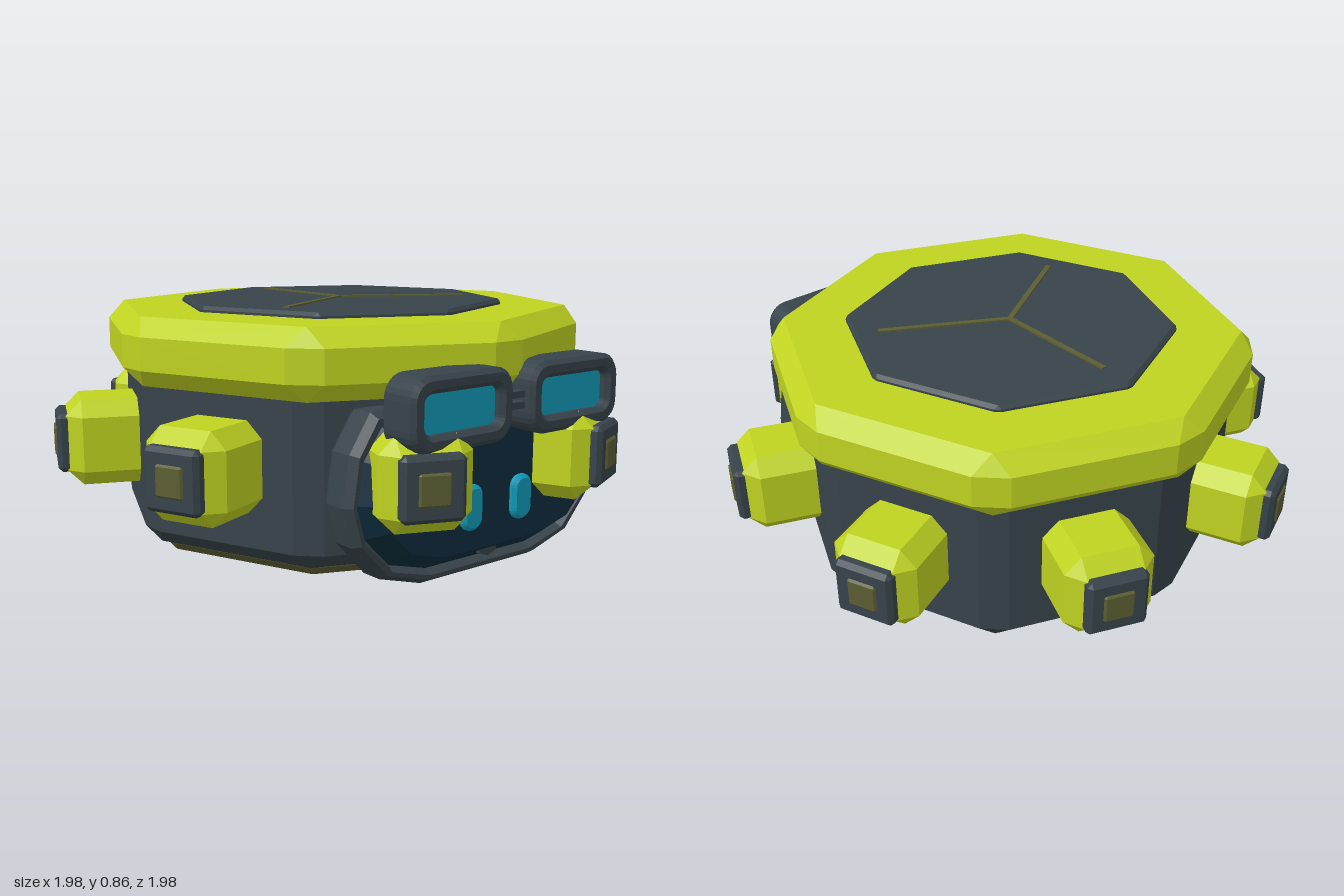
import * as THREE from 'three';
import { ConvexGeometry } from 'three/addons/geometries/ConvexGeometry.js';

const mat = (name, color) => {
  const m = new THREE.MeshStandardMaterial({ color, flatShading: true });
  m.name = name;
  return m;
};

// Box with chamfered edges
function chamferBox(w, h, d, c) {
  const pts = [];
  for (const x of [-w / 2, w / 2]) for (const y of [-h / 2, h / 2]) for (const z of [-d / 2, d / 2]) {
    const ix = x - Math.sign(x) * c, iy = y - Math.sign(y) * c, iz = z - Math.sign(z) * c;
    pts.push(new THREE.Vector3(x, iy, iz), new THREE.Vector3(ix, y, iz), new THREE.Vector3(ix, iy, z));
  }
  return new ConvexGeometry(pts);
}

// Octagonal prism with chamfered edges and corners; a = distance to the flats
function chamferOctagon(a, y0, y1, c) {
  const pts = [], cos = Math.cos(Math.PI / 8), tan = Math.tan(Math.PI / 8);
  const up = new THREE.Vector3(0, 1, 0);
  for (let k = 0; k < 8; k++) {
    const add = (x, y, z) => pts.push(new THREE.Vector3(x, y, z).applyAxisAngle(up, k * Math.PI / 4));
    for (const y of [y0, y1]) add(0, y, (a - c) / cos);
    for (const y of [y0 + c, y1 - c]) for (const s of [-1, 1]) add(s * c, y, a / cos - c * tan);
  }
  return new ConvexGeometry(pts);
}

// Extrusion from z0 to z1 with a one-step bevel kept inside the outline
function plate(shape, z0, z1, size, thick = size) {
  return new THREE.ExtrudeGeometry(shape, {
    depth: z1 - z0 - 2 * thick, bevelThickness: thick, bevelSize: size, bevelOffset: -size,
    bevelSegments: 1, curveSegments: 3,
  }).translate(0, 0, z0 + thick);
}

function roundRect(w, h, r, Type = THREE.Shape) {
  const s = new Type(), x = w / 2 - r, y = h / 2 - r;
  s.absarc(x, y, r, 0, Math.PI / 2);
  s.absarc(-x, y, r, Math.PI / 2, Math.PI);
  s.absarc(-x, -y, r, Math.PI, Math.PI * 1.5);
  s.absarc(x, -y, r, Math.PI * 1.5, Math.PI * 2);
  s.closePath();
  return s;
}

// Mirrored mouth outline, shrunk towards its middle
function mouthPoints(sx, sy) {
  const half = [[0.25, 0], [0.42, 0.05], [0.53, 0.17], [0.565, 0.3], [0.54, 0.46], [0.46, 0.58]];
  const all = [...half, ...half.map(([x, y]) => [-x, y]).reverse()];
  return all.map(([x, y]) => new THREE.Vector2(x * sx, 0.3 + (y - 0.3) * sy));
}

export function createModel() {
  const lime = mat('lime shell', 0xbfd321);
  const slate = mat('dark slate', 0x37434a);
  const olive = mat('olive trim', 0x5c5d32);
  const teal = mat('deep teal', 0x0e2c3c);
  const cyan = mat('cyan glass', 0x119ab8);

  const model = new THREE.Group();
  model.name = 'octagonRobot';
  const add = (name, geo, material, parent = model) => {
    const m = new THREE.Mesh(geo, material);
    m.name = name;
    parent.add(m);
    return m;
  };

  // Hull
  add('basePlate', chamferOctagon(0.686, 0.02, 0.1, 0.03), olive);
  add('body', chamferOctagon(0.758, 0.06, 0.7, 0.05), slate);
  add('topRing', chamferOctagon(0.818, 0.6, 0.83, 0.06), lime);
  add('topPanel', chamferOctagon(0.55, 0.8, 0.85, 0.012), slate);
  for (let k = 0; k < 3; k++) {
    const line = add('topSeam', new THREE.BoxGeometry(0.02, 0.012, 0.47).translate(0, 0.85, -0.235), olive);
    line.rotation.y = k * Math.PI * 2 / 3;
  }

  // Eight nozzles, one on each flat
  for (let k = 0; k < 8; k++) {
    const nozzle = new THREE.Group();
    nozzle.name = 'nozzle';
    nozzle.rotation.y = (k + 0.5) * Math.PI / 4;
    nozzle.position.y = 0.375;
    add('nozzleBlock', chamferBox(0.3, 0.3, 0.36, 0.055).translate(0, 0, 0.825), lime, nozzle);
    add('nozzleCap', chamferBox(0.205, 0.205, 0.1, 0.015).translate(0, 0, 0.985), slate, nozzle);
    add('nozzleInset', chamferBox(0.105, 0.105, 0.02, 0.008).translate(0, 0, 1.032), olive, nozzle);
    model.add(nozzle);
  }

  // Mouth: frame, panel, two teeth and a chin stud
  const frame = new THREE.Shape(mouthPoints(1, 1));
  frame.holes.push(new THREE.Path(mouthPoints(0.91, 0.84)));
  add('mouthFrame', plate(frame, 0.63, 0.765, 0.018, 0.03), slate);
  add('mouthPanel', plate(new THREE.Shape(mouthPoints(0.92, 0.85)), 0.6, 0.815, 0.055, 0.08), teal);
  for (const s of [-1, 1]) {
    add('tooth', plate(roundRect(0.09, 0.15, 0.04), 0.79, 0.838, 0.012), cyan)
      .position.set(s * 0.113, 0.245, 0);
  }
  add('chinStud', new THREE.CylinderGeometry(0.045, 0.045, 0.06, 6).rotateX(Math.PI / 2).scale(1, 0.65, 1), slate)
    .position.set(0, 0.085, 0.76);

  // Goggles
  for (const s of [-1, 1]) {
    const eye = new THREE.Group();
    eye.name = s > 0 ? 'leftGoggle' : 'rightGoggle';
    eye.position.set(s * 0.25, 0.588, 0);
    const rim = roundRect(0.425, 0.235, 0.075);
    rim.holes.push(roundRect(0.31, 0.125, 0.03, THREE.Path));
    add('rim', plate(rim, 0.785, 0.928, 0.015), slate, eye);
    add('goggleBack', plate(roundRect(0.38, 0.19, 0.06), 0.79, 0.82, 0.005), slate, eye);
    add('lens', new THREE.BoxGeometry(0.33, 0.145, 0.08).translate(0, 0, 0.855), cyan, eye);
    model.add(eye);
  }
  for (const y of [0.57, 0.605]) {
    add('goggleBridge', new THREE.BoxGeometry(0.12, 0.022, 0.035), slate).position.set(0, y, 0.88);
  }

  return model;
}
